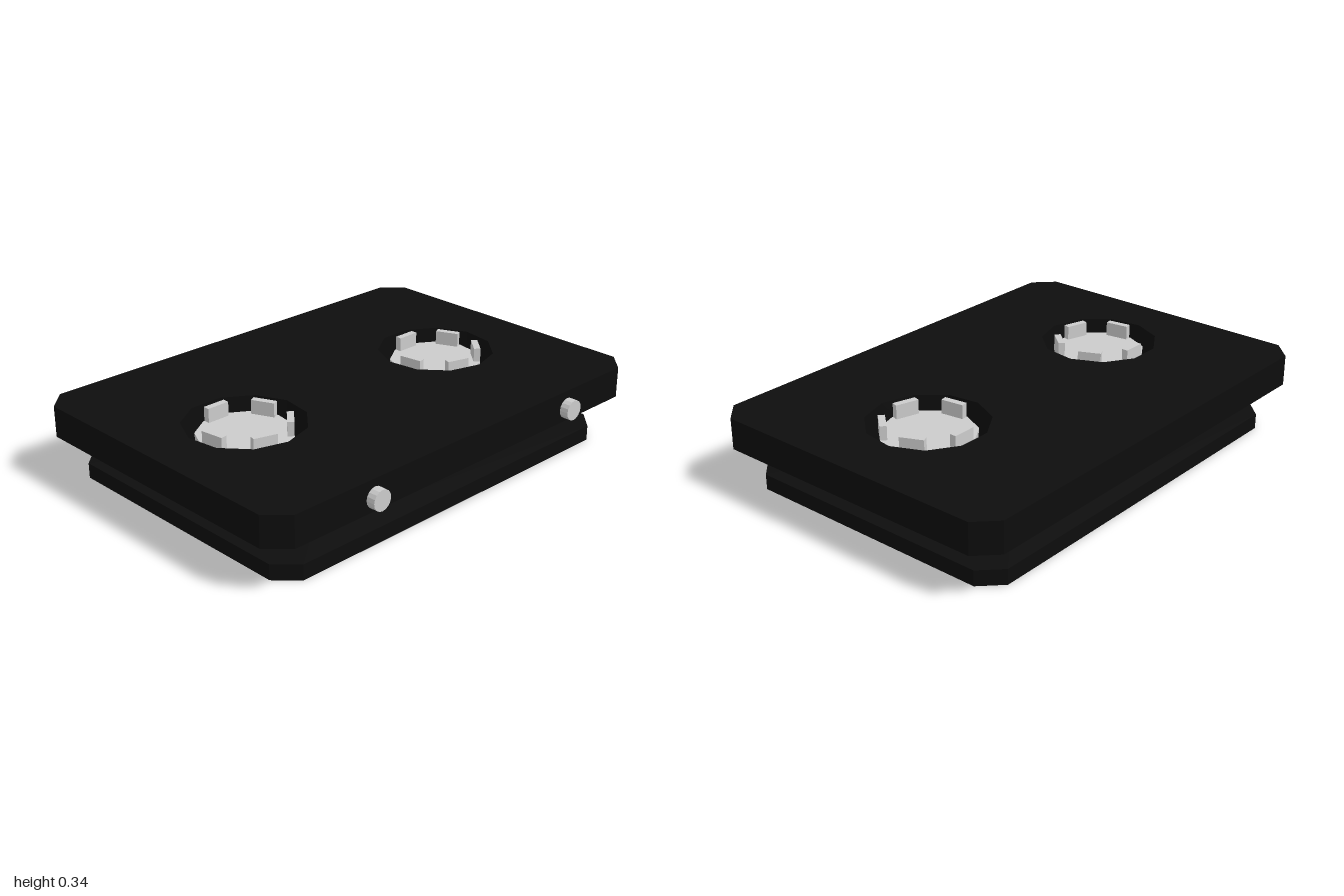
import * as THREE from 'three';

const SIDES = 11;
const CX = -0.02; // the body sits slightly off centre because of the side studs
const TOP = 0.325;
const KNOBS = [[0, -0.525], [-0.005, 0.55]];

// Chamfered rectangle, running from +x towards +z
function chamferedRect(hx, hz, c) {
  return [
    [hx, -hz + c], [hx, hz - c], [hx - c, hz], [-hx + c, hz],
    [-hx, hz - c], [-hx, -hz + c], [-hx + c, -hz], [hx - c, -hz],
  ].map(([x, z]) => [x + CX, z]);
}

// Skin between stacked chamfered rectangles [y, halfX, halfZ, chamfer]
function loft(sections) {
  const pos = [], index = [];
  for (const [y, hx, hz, c] of sections) {
    for (const [x, z] of chamferedRect(hx, hz, c)) pos.push(x, y, z);
  }
  for (let s = 0; s < sections.length - 1; s++) {
    for (let i = 0; i < 8; i++) {
      const a = s * 8 + i, b = s * 8 + (i + 1) % 8;
      index.push(a, a + 8, b + 8, a, b + 8, b);
    }
  }
  const g = new THREE.BufferGeometry();
  g.setAttribute('position', new THREE.Float32BufferAttribute(pos, 3));
  g.setIndex(index);
  g.computeVertexNormals();
  return g;
}

function addMesh(parent, name, geometry, material) {
  const m = new THREE.Mesh(geometry, material);
  m.name = name;
  parent.add(m);
  return m;
}

export function createModel() {
  const model = new THREE.Group();
  const black = new THREE.MeshStandardMaterial({ color: 0x0d0d0d, flatShading: true, side: THREE.DoubleSide });
  const grey = new THREE.MeshStandardMaterial({ color: 0xcccccc, flatShading: true, side: THREE.DoubleSide });

  // Hollow body, open below: foot flange, waist, upper plate
  addMesh(model, 'bodyShell', loft([
    [0, 0.635, 0.905, 0.085],
    [0.065, 0.635, 0.905, 0.085],
    [0.078, 0.498, 0.71, 0.06],
    [0.175, 0.498, 0.71, 0.06],
    [0.193, 0.70, 1, 0.085],
    [TOP, 0.70, 1, 0.085],
  ]), black);

  // Top face with two openings
  const shape = new THREE.Shape(chamferedRect(0.70, 1, 0.085).map(([x, z]) => new THREE.Vector2(x, -z)));
  for (const [x, z] of KNOBS) {
    const pts = [];
    for (let i = 0; i < SIDES; i++) {
      const a = (i / SIDES) * Math.PI * 2;
      pts.push(new THREE.Vector2(x + 0.25 * Math.cos(a), -z + 0.25 * Math.sin(a)));
    }
    shape.holes.push(new THREE.Path(pts));
  }
  addMesh(model, 'topPlate', new THREE.ShapeGeometry(shape).rotateX(-Math.PI / 2).translate(0, TOP, 0), black);

  // Recessed cup with five raised tabs in each opening
  const profile = [[0.25, 0.16], [0.19, 0.2], [0.197, 0.28], [0, 0.28]].map(([r, y]) => new THREE.Vector2(r, y));
  for (const [x, z] of KNOBS) {
    const knob = new THREE.Group();
    knob.name = 'knob';
    knob.position.set(x, 0, z);
    const wall = new THREE.CylinderGeometry(0.25, 0.25, TOP - 0.16, SIDES, 1, true, Math.PI / 2);
    addMesh(knob, 'socketWall', wall.translate(0, (TOP + 0.16) / 2, 0), black);
    addMesh(knob, 'cup', new THREE.LatheGeometry(profile, SIDES, Math.PI / 2), grey);
    for (const k of [1, 3, 5, 8, 10]) {
      const tab = new THREE.BoxGeometry(0.028, 0.062, 0.1).translate(0.175, 0.309, 0);
      addMesh(knob, 'tab', tab.rotateY(((k + 0.5) / SIDES) * Math.PI * 2), grey);
    }
    model.add(knob);
  }

  // Small round studs on one long side
  for (const z of [0.53, -0.572]) {
    const stud = new THREE.CylinderGeometry(0.043, 0.043, 0.05, 16).rotateZ(Math.PI / 2);
    addMesh(model, 'sideStud', stud, grey).position.set(0.693, 0.25, z);
  }
  return model;
}
